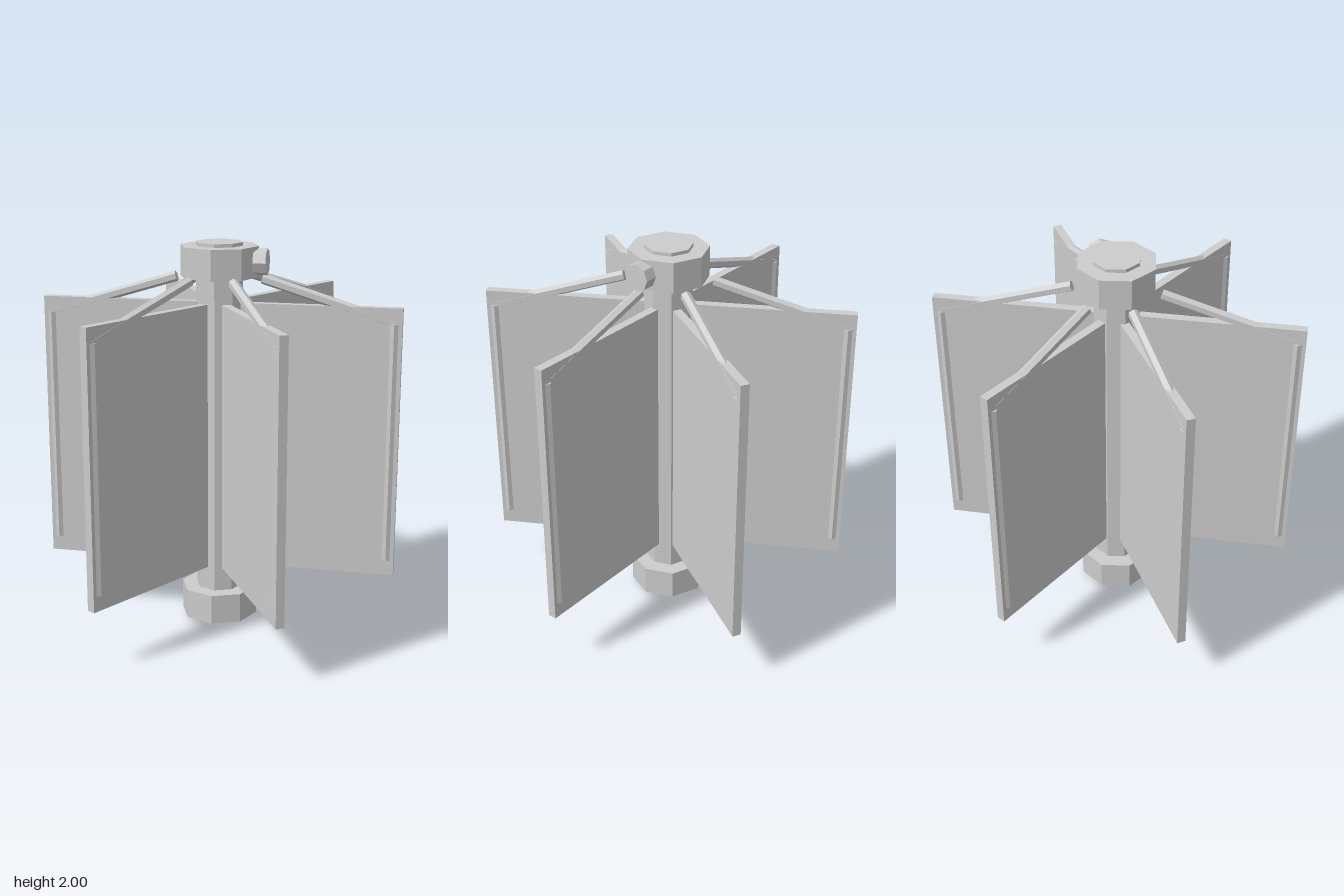
import * as THREE from 'three';

const metal = new THREE.MeshStandardMaterial({ color: 0xcccccc, flatShading: true });
metal.name = 'light grey';

function add(parent, name, geometry, x, y, z = 0) {
  const mesh = new THREE.Mesh(geometry, metal);
  mesh.name = name;
  mesh.position.set(x, y, z);
  parent.add(mesh);
  return mesh;
}

const prism = (radius, length, sides) => new THREE.CylinderGeometry(radius, radius, length, sides);

export function createModel() {
  const group = new THREE.Group();
  group.name = 'paddleRotor';

  // Central shaft with a collar at each end
  add(group, 'shaft', prism(0.12, 2, 8), 0, 1, 0);
  add(group, 'topCollar', prism(0.2, 0.155, 8), 0, 1.905, 0);
  add(group, 'bottomCollar', prism(0.2, 0.155, 8), 0, 0.103, 0);

  // Set screw on the side of the top collar
  add(group, 'setScrew', prism(0.068, 0.065, 8).rotateZ(Math.PI / 2), 0.2125, 1.905, 0);

  // Six paddles, each with a rim rod and a sloping brace
  const inner = new THREE.Vector2(0.22, 1.822);
  const outer = new THREE.Vector2(0.888, 1.618);
  const run = outer.clone().sub(inner);
  const panelGeometry = new THREE.BoxGeometry(0.81, 1.393, 0.044);
  const rodGeometry = prism(0.0335, 1.235, 6);
  const braceGeometry = prism(0.0265, run.length(), 6)
    .rotateY(Math.PI / 6)
    .rotateZ(run.angle() - Math.PI / 2);

  for (let i = 0; i < 6; i++) {
    const paddle = new THREE.Group();
    paddle.name = 'paddle' + (i + 1);
    paddle.rotation.y = i * Math.PI / 3;
    add(paddle, 'panel', panelGeometry, 0.517, 1.0025);
    add(paddle, 'rimRod', rodGeometry, 0.882, 1.0025);
    add(paddle, 'brace', braceGeometry, (inner.x + outer.x) / 2, (inner.y + outer.y) / 2);
    group.add(paddle);
  }
  return group;
}
